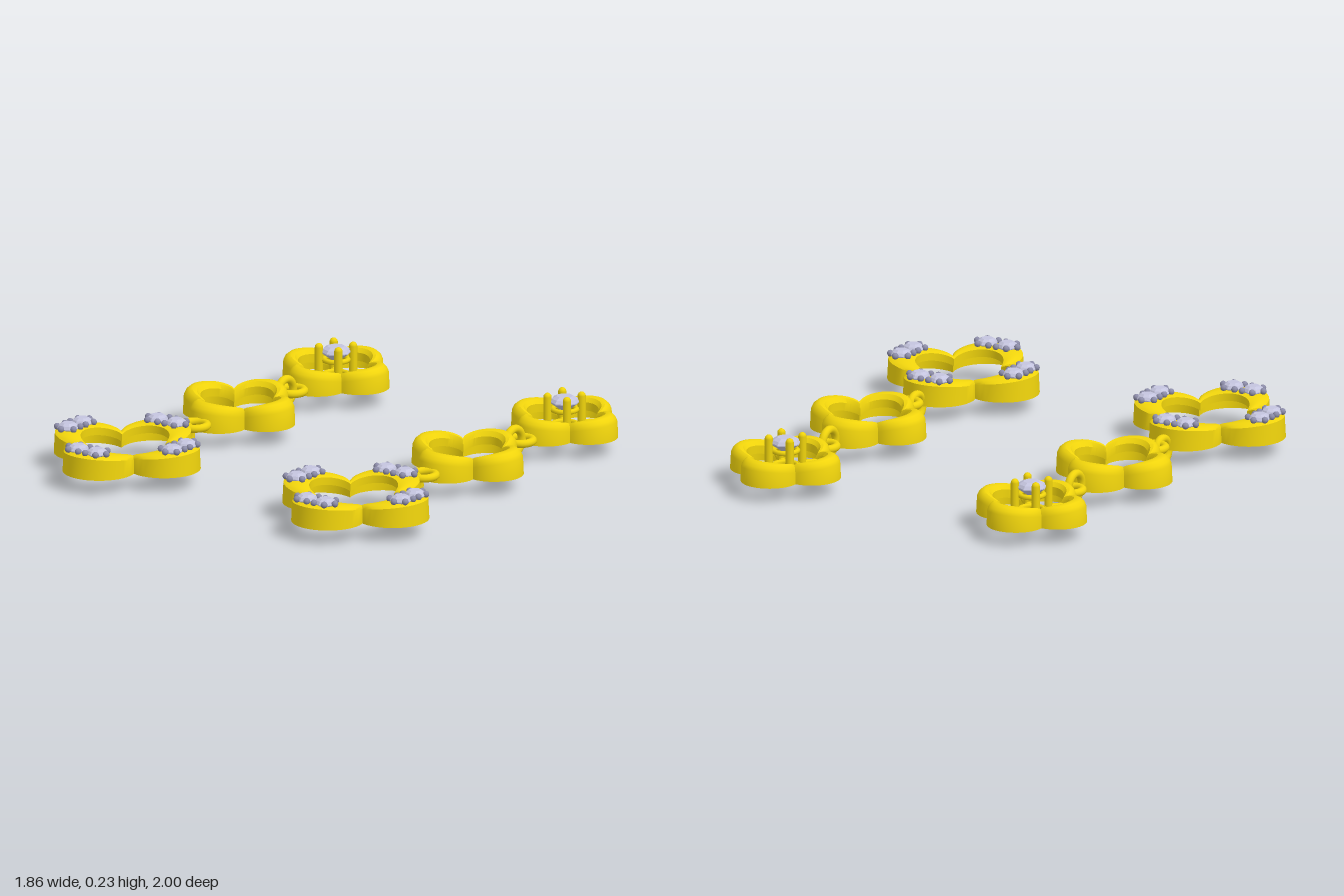
import * as THREE from 'three';
import { toCreasedNormals } from 'three/addons/utils/BufferGeometryUtils.js';

const gold = new THREE.MeshStandardMaterial({ color: 0xf0d40c });
const stone = new THREE.MeshStandardMaterial({ color: 0xc4c4de, flatShading: true });
const bead = new THREE.MeshStandardMaterial({ color: 0x8c8ca8 });
const BASE = 0.065;

function add(parent, name, geometry, material, x = 0, y = 0, z = 0) {
  const mesh = new THREE.Mesh(geometry, material);
  mesh.name = name;
  mesh.position.set(x, y, z);
  parent.add(mesh);
  return mesh;
}

// Polar radius of a four-lobed outline: circles of radius r, centred c from the middle
function cloverRadius(theta, c, r) {
  const quarter = Math.PI / 2;
  const phi = theta - Math.round(theta / quarter) * quarter;
  return c * Math.cos(phi) + Math.sqrt(r * r - (c * Math.sin(phi)) ** 2);
}

// Hollow-backed clover frame: an L-shaped section swept round the outline
function cloverGeometry({ outer, inner, tip, cusp, dome, wall, lip, edge }) {
  const n = 96, pos = [], index = [];
  let m = 0;
  for (let i = 0; i < n; i++) {
    const t = (i / n) * Math.PI * 2;
    const ro = cloverRadius(t, ...outer), ri = cloverRadius(t, ...inner);
    const h = cusp + (tip - cusp) * Math.abs(Math.cos(2 * t)) ** 0.7;
    const section = [[ro, BASE], [ro * 0.985, h - edge]];
    // gently domed top face
    for (const s of [0.15, 0.35, 0.55, 0.8]) {
      section.push([ro + (ri - ro) * s, h - edge * (1 - s) ** 4 + dome * Math.sin(Math.PI * s)]);
    }
    section.push([ri, h - edge * 0.5], [ri, h - lip], [ro - wall, h - lip], [ro - wall, BASE]);
    m = section.length;
    for (const [r, y] of section) pos.push(r * Math.sin(t), y, r * Math.cos(t));
  }
  for (let i = 0; i < n; i++) {
    for (let j = 0; j < m; j++) {
      const i2 = (i + 1) % n, j2 = (j + 1) % m;
      const a = i * m + j, b = i2 * m + j, c = i2 * m + j2, d = i * m + j2;
      index.push(a, b, c, a, c, d);
    }
  }
  const g = new THREE.BufferGeometry();
  g.setAttribute('position', new THREE.Float32BufferAttribute(pos, 3));
  g.setIndex(index);
  return toCreasedNormals(g, 0.6);
}

// Faceted stone with a flat table, origin at the girdle
function gemGeometry(r, crown, depth) {
  const profile = [[0, -depth], [r, -crown * 0.2], [r, 0], [r * 0.85, crown * 0.55], [r * 0.55, crown], [0, crown]];
  return new THREE.LatheGeometry(profile.map(([x, y]) => new THREE.Vector2(x, y)), 8);
}

function rod(parent, name, a, b, r) {
  const path = new THREE.LineCurve3(new THREE.Vector3(...a), new THREE.Vector3(...b));
  const mid = path.getPoint(0.5);
  const mesh = add(parent, name, new THREE.CapsuleGeometry(r, path.getLength() - 2 * r, 4, 10), gold, mid.x, mid.y, mid.z);
  mesh.quaternion.setFromUnitVectors(new THREE.Vector3(0, 1, 0), path.getTangent(0));
}

// Small clover with a raised, four-pronged stone
function makeStud() {
  const stud = new THREE.Group();
  stud.name = 'stud';
  add(stud, 'studFrame', cloverGeometry({
    outer: [0.125, 0.12], inner: [0.082, 0.09], tip: 0.155, cusp: 0.13, dome: 0.012, wall: 0.022, lip: 0.045, edge: 0.02,
  }), gold);
  add(stud, 'centreStone', gemGeometry(0.063, 0.022, 0.05), stone, 0, 0.195, 0);
  for (const y of [0.095, 0.16]) {
    add(stud, 'settingRing', new THREE.TorusGeometry(0.05, 0.011, 8, 24), gold, 0, y, 0).rotation.x = Math.PI / 2;
  }
  for (const sx of [-1, 1]) {
    for (const sz of [-1, 1]) {
      rod(stud, 'prong', [sx * 0.05, 0.085, sz * 0.05], [sx * 0.05, 0.232, sz * 0.05], 0.017);
      rod(stud, 'strut', [sx * 0.035, 0.1, sz * 0.035], [sx * 0.108, 0.1, sz * 0.108], 0.014);
    }
  }
  return stud;
}

// Plain middle clover
function makeMiddle() {
  const middle = new THREE.Group();
  middle.name = 'middleClover';
  add(middle, 'middleFrame', cloverGeometry({
    outer: [0.137, 0.121], inner: [0.079, 0.096], tip: 0.165, cusp: 0.135, dome: 0.014, wall: 0.022, lip: 0.045, edge: 0.022,
  }), gold);
  return middle;
}

// Large clover with a pair of stones and bead claws on each lobe
function makePendant() {
  const pendant = new THREE.Group();
  pendant.name = 'pendant';
  add(pendant, 'pendantFrame', cloverGeometry({
    outer: [0.19, 0.15], inner: [0.1, 0.112], tip: 0.16, cusp: 0.13, dome: 0.006, wall: 0.025, lip: 0.035, edge: 0.006,
  }), gold);
  const gem = gemGeometry(0.045, 0.02, 0.035);
  const claw = new THREE.SphereGeometry(0.014, 10, 8);
  for (let k = 0; k < 4; k++) {
    const lobe = new THREE.Group();
    lobe.name = 'stoneCluster';
    lobe.rotation.y = k * Math.PI / 2;
    for (const s of [-1, 1]) {
      add(lobe, 'smallStone', gem, stone, s * 0.048, 0.168, 0.268);
      for (const [x, z] of [[0.07, 0.307], [0.096, 0.268], [0.068, 0.225], [0.018, 0.308], [0.018, 0.228]]) {
        add(lobe, 'beadClaw', claw, bead, s * x, 0.17, z);
      }
    }
    pendant.add(lobe);
  }
  return pendant;
}

function makeEarring() {
  const earring = new THREE.Group();
  earring.name = 'earring';
  for (const [part, z] of [[makeStud(), -0.755], [makeMiddle(), -0.1], [makePendant(), 0.655]]) {
    part.position.z = z;
    earring.add(part);
  }
  // Interlocked pairs of jump rings: one lying flat, one upright
  const ring = new THREE.TorusGeometry(0.053, 0.017, 12, 32);
  for (const [flatZ, flatY, uprightZ, uprightY] of [[-0.453, 0.098, -0.412, 0.103], [0.203, 0.106, 0.277, 0.07]]) {
    add(earring, 'flatLink', ring, gold, 0, flatY, flatZ).rotation.x = Math.PI / 2;
    add(earring, 'uprightLink', ring, gold, 0, uprightY, uprightZ).rotation.y = Math.PI / 2;
  }
  return earring;
}

export function createModel() {
  const model = new THREE.Group();
  model.name = 'earrings';
  for (const [name, x] of [['rightEarring', -0.588], ['leftEarring', 0.588]]) {
    const earring = makeEarring();
    earring.name = name;
    earring.position.x = x;
    model.add(earring);
  }
  return model;
}
